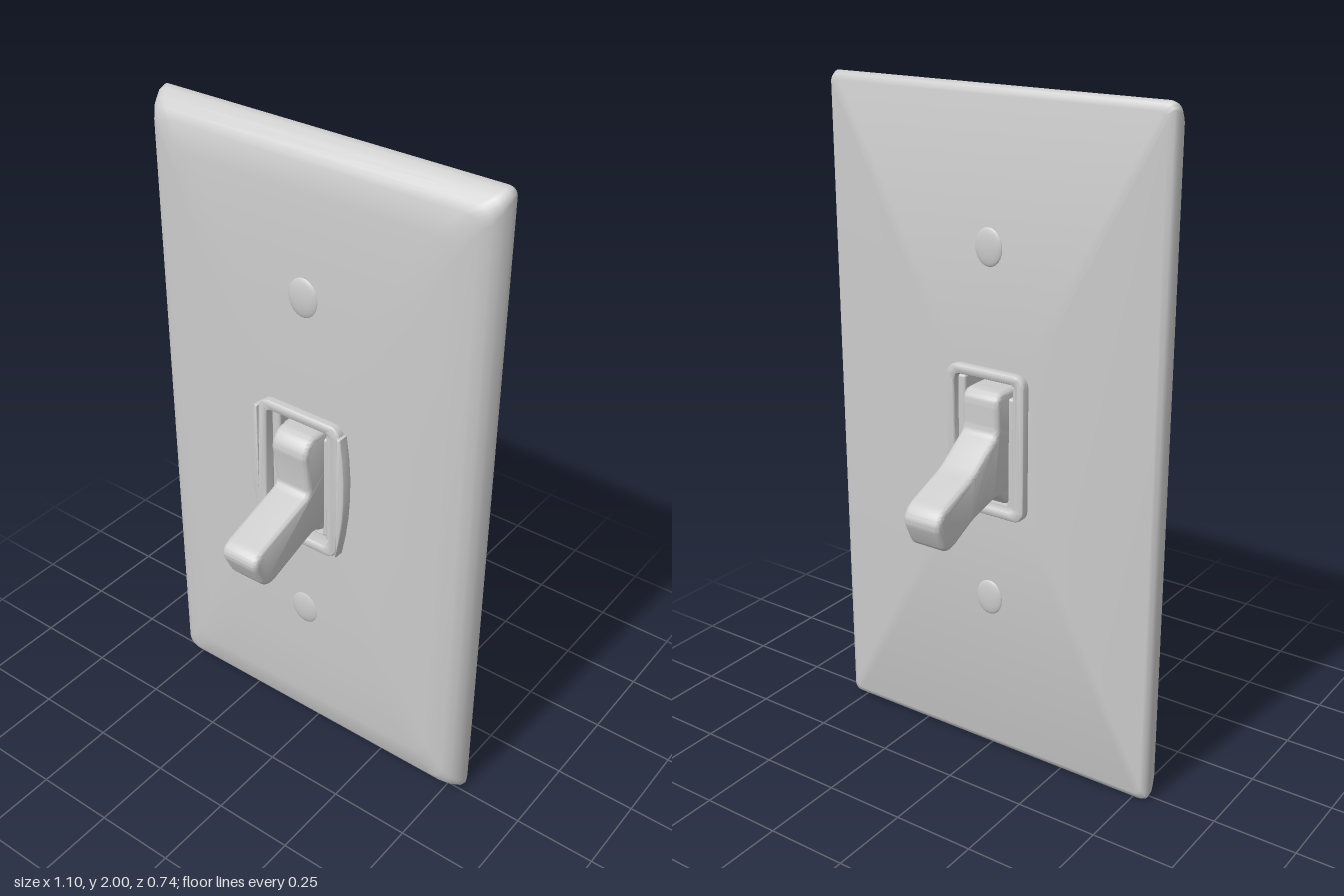
import * as THREE from 'three';
import { toCreasedNormals } from 'three/addons/utils/BufferGeometryUtils.js';
import { RoundedBoxGeometry } from 'three/addons/geometries/RoundedBoxGeometry.js';

const material = new THREE.MeshStandardMaterial({ color: 0xcccccc });
const CY = 1.005; // height of the switch opening's centre

function add(group, name, geometry, x = 0, y = 0, z = 0) {
  const mesh = new THREE.Mesh(geometry, material);
  mesh.name = name;
  mesh.position.set(x, y, z);
  group.add(mesh);
  return mesh;
}

// Counter-clockwise points of a rounded rectangle around the origin
function roundedRect(hx, hy, r, n = 5) {
  const pts = [];
  for (let c = 0; c < 4; c++) {
    const sx = c === 0 || c === 3 ? 1 : -1;
    const sy = c < 2 ? 1 : -1;
    for (let i = 0; i <= n; i++) {
      const a = (c + i / n) * Math.PI / 2;
      pts.push(new THREE.Vector2(sx * (hx - r) + r * Math.cos(a), sy * (hy - r) + r * Math.sin(a)));
    }
  }
  return pts;
}

// Closed skin through nested loops [half width, half height, centre y, z, corner radius]
function plateGeometry(rings) {
  const pos = [], index = [];
  const n = 24;
  for (const [hx, hy, cy, z, r] of rings)
    for (const p of roundedRect(hx, hy, r)) pos.push(p.x, p.y + cy, z);
  rings.forEach((_, k) => {
    const a = k * n, b = ((k + 1) % rings.length) * n;
    for (let j = 0; j < n; j++) {
      const m = (j + 1) % n;
      index.push(a + j, a + m, b + m, a + j, b + m, b + j);
    }
  });
  const g = new THREE.BufferGeometry();
  g.setAttribute('position', new THREE.Float32BufferAttribute(pos, 3));
  g.setIndex(index);
  return toCreasedNormals(g, 0.9);
}

// Polygon with each corner rounded by a quadratic curve
function softShape(points, r) {
  const shape = new THREE.Shape();
  const v = points.map(p => new THREE.Vector2(...p));
  v.forEach((p, i) => {
    const toward = q => {
      const d = q.clone().sub(p);
      return p.clone().add(d.setLength(Math.min(r, d.length() * 0.45)));
    };
    const a = toward(v[(i + v.length - 1) % v.length]);
    const b = toward(v[(i + 1) % v.length]);
    if (i === 0) shape.moveTo(a.x, a.y); else shape.lineTo(a.x, a.y);
    shape.quadraticCurveTo(p.x, p.y, b.x, b.y);
  });
  shape.closePath();
  return shape;
}

// Bevelled extrusion of total thickness `depth`, centred on its depth
function bevelled(shape, depth, bevel) {
  const g = new THREE.ExtrudeGeometry(shape, {
    depth: depth - 2 * bevel, bevelEnabled: true, bevelThickness: bevel,
    bevelSize: bevel, bevelOffset: -bevel, bevelSegments: 4, curveSegments: 6,
  });
  g.translate(0, 0, bevel - depth / 2);
  return toCreasedNormals(g, 0.7);
}

function frameGeometry(hx, hy, wall, depth) {
  const shape = new THREE.Shape(roundedRect(hx, hy, 0.035));
  shape.holes.push(new THREE.Path(roundedRect(hx - wall, hy - wall, 0.02).reverse()));
  return bevelled(shape, depth, 0.007);
}

export function createModel() {
  const model = new THREE.Group();
  model.name = 'wallSwitch';

  // Wall plate: flat back, rolled rim, gently domed front, open in the middle
  add(model, 'wallPlate', plateGeometry([
    [0.125, 0.215, CY, -0.042, 0.03],
    [0.53, 0.975, 1, -0.044, 0.02],
    [0.544, 0.992, 1, -0.037, 0.022],
    [0.55, 1, 1, -0.022, 0.025],
    [0.55, 0.995, 1, -0.005, 0.028],
    [0.542, 0.978, 1, 0.02, 0.035],
    [0.527, 0.96, 1, 0.04, 0.04],
    [0.5, 0.938, 1, 0.054, 0.045],
    [0.44, 0.86, 1, 0.064, 0.06],
    [0.34, 0.66, 1, 0.074, 0.08],
    [0.2, 0.4, 1, 0.079, 0.06],
    [0.125, 0.215, CY, 0.08, 0.03],
  ]));

  // Frames round the opening
  add(model, 'frontFrame', frameGeometry(0.142, 0.22, 0.03, 0.05), 0, CY, 0.086).rotation.x = -0.03;
  add(model, 'backFrame', frameGeometry(0.132, 0.22, 0.028, 0.04), 0, CY + 0.002, -0.048);

  // Guide rails and flared lips on both sides of the lever
  const lip = new THREE.Shape();
  lip.moveTo(0.138, 0.79);
  lip.quadraticCurveTo(0.185, 1.0, 0.15, 1.2);
  lip.lineTo(0.138, 1.2);
  lip.closePath();
  const lipGeometry = bevelled(lip, 0.045, 0.006);
  for (const side of [1, -1]) {
    const name = side > 0 ? 'left' : 'right';
    add(model, name + 'GuideRail', new RoundedBoxGeometry(0.03, 0.39, 0.13, 3, 0.008), side * 0.095, CY - 0.01, 0.018);
    add(model, name + 'InnerRail', new RoundedBoxGeometry(0.03, 0.34, 0.1, 3, 0.008), side * 0.07, CY - 0.03, 0.015);
    const flare = add(model, name + 'Lip', lipGeometry, 0, 0, 0.09);
    if (side < 0) { // turned about the vertical axis so that it mirrors the other
      flare.rotation.y = Math.PI;
    }
  }

  // Toggle: one side profile (z, y) with a stepped block and a lever front and back
  const profile = [
    [0.1, 0.845], [0.13, 0.84], [0.3, 0.782], [0.335, 0.792], [0.378, 0.88], [0.36, 0.91],
    [0.128, 0.985], [0.152, 1.13], [0.12, 1.17],
    [-0.07, 1.17], [-0.09, 1.15], [-0.09, 1.05], [-0.12, 1.03], [-0.2, 0.97],
    [-0.35, 0.908], [-0.373, 0.87], [-0.335, 0.785], [-0.3, 0.785],
    [-0.2, 0.835], [-0.08, 0.865], [-0.04, 0.82], [0.06, 0.82],
  ];
  const toggle = bevelled(softShape(profile, 0.025), 0.124, 0.016);
  add(model, 'toggleLever', toggle).rotation.y = -Math.PI / 2;

  // Shallow screw bosses above and below, on both faces
  const boss = new THREE.SphereGeometry(1, 24, 12);
  for (const y of [0.51, 1.57]) {
    add(model, 'frontScrewBoss', boss, 0, y, 0.072).scale.set(0.05, 0.06, 0.014);
    add(model, 'backScrewBoss', boss, 0, y, -0.042).scale.set(0.045, 0.055, 0.01);
  }
  return model;
}
